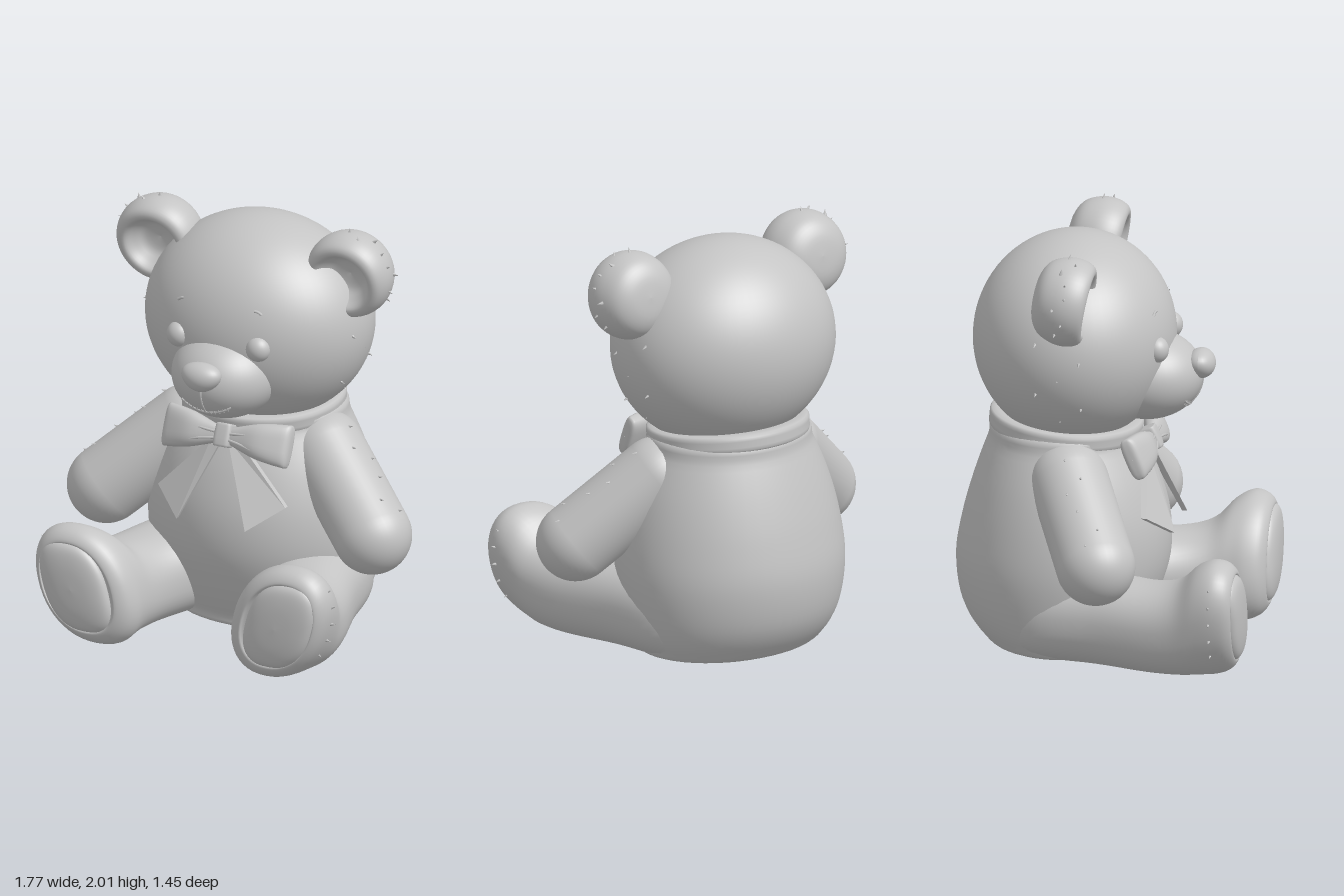
import * as THREE from 'three';

const V = (x, y, z) => new THREE.Vector3(x, y, z);
const plush = new THREE.MeshStandardMaterial({ color: 0xc4c4c4 });
plush.name = 'plain grey';

function add(parent, name, geometry, x = 0, y = 0, z = 0) {
  const mesh = new THREE.Mesh(geometry, plush);
  mesh.name = name;
  mesh.position.set(x, y, z);
  parent.add(mesh);
  return mesh;
}

function ball(parent, name, x, y, z, rx, ry, rz, seg = 40) {
  return add(parent, name, new THREE.SphereGeometry(1, seg, Math.round(seg * 0.7)).scale(rx, ry, rz), x, y, z);
}

// Smooth closed skin along z; each section is [z, cx, cy, rx, ry, power, lean]
function loft(sections, steps = 5, n = 48) {
  const pos = [], index = [];
  const rings = (sections.length - 1) * steps;
  for (let i = 0; i <= rings; i++) {
    const k = Math.min(Math.floor(i / steps), sections.length - 2), t = i / steps - k;
    const at = (j) => sections[Math.max(0, Math.min(sections.length - 1, j))];
    const [z, cx, cy, rx, ry, p, lean] = sections[0].map((_, c) => {
      const a = at(k - 1)[c], b = at(k)[c], d = at(k + 1)[c], e = at(k + 2)[c];
      return b + 0.5 * t * (d - a + t * (2 * a - 5 * b + 4 * d - e + t * (3 * (b - d) + e - a)));
    });
    for (let j = 0; j < n; j++) {
      const a = (j / n) * Math.PI * 2, c = Math.cos(a), s = Math.sin(a);
      const sx = Math.sign(c) * Math.abs(c) ** (2 / p), sy = Math.sign(s) * Math.abs(s) ** (2 / p);
      pos.push(cx + rx * sx + lean * ry * sy, cy + ry * sy, z);
      if (i < rings) {
        const A = i * n + j, B = i * n + (j + 1) % n;
        index.push(A, B, A + n, B, B + n, A + n);
      }
    }
  }
  const g = new THREE.BufferGeometry();
  g.setAttribute('position', new THREE.Float32BufferAttribute(pos, 3));
  g.setIndex(index);
  return g;
}

// Rest a skin on the floor
function settle(g) {
  const p = g.attributes.position;
  for (let i = 0; i < p.count; i++) p.setY(i, Math.max(0, p.getY(i)));
  g.computeVertexNormals();
  return g;
}

// Little pointed lock of fur
function tuft(parent, point, direction) {
  const m = add(parent, 'furTuft', new THREE.ConeGeometry(0.014, 0.045, 6), point.x, point.y, point.z);
  m.quaternion.setFromUnitVectors(V(0, 1, 0), direction.clone().normalize());
}

function tube(parent, name, points, r) {
  return add(parent, name, new THREE.TubeGeometry(new THREE.CatmullRomCurve3(points), 20, r, 6));
}

export function createModel() {
  const bear = new THREE.Group();
  bear.name = 'teddyBear';

  // Pear-shaped body, sections rising in y
  const body = loft([
    [0, 0, 0.2, 0.001, 0.001, 2, 0],
    [0, 0, 0.2, 0.4, 0.31, 2, 0],
    [0.06, 0, 0.23, 0.48, 0.38, 2, 0],
    [0.2, 0, 0.24, 0.53, 0.455, 2, 0],
    [0.4, 0, 0.225, 0.56, 0.5, 2, 0],
    [0.6, 0, 0.21, 0.545, 0.485, 2, 0],
    [0.8, 0, 0.21, 0.495, 0.43, 2, 0],
    [0.98, 0, 0.22, 0.415, 0.355, 2, 0],
    [1.07, 0, 0.22, 0.36, 0.31, 2, 0],
    [1.1, 0, 0.22, 0.001, 0.001, 2, 0],
  ]).rotateX(-Math.PI / 2);
  add(bear, 'body', settle(body));

  // Head and muzzle, with helpers giving the depth of their front surfaces
  ball(bear, 'head', 0, 1.47, -0.17, 0.555, 0.495, 0.475, 64);
  ball(bear, 'muzzle', 0, 1.295, 0.17, 0.256, 0.212, 0.265, 48);
  const headZ = (x, y) => -0.17 + 0.475 * Math.sqrt(1 - (x / 0.555) ** 2 - ((y - 1.47) / 0.495) ** 2);
  const muzzleZ = (x, y) => 0.17 + 0.265 * Math.sqrt(1 - (x / 0.256) ** 2 - ((y - 1.295) / 0.212) ** 2);

  // Nose, narrower at the bottom
  const nose = new THREE.SphereGeometry(1, 32, 24);
  const np = nose.attributes.position;
  for (let i = 0; i < np.count; i++) {
    np.setXYZ(i, np.getX(i) * (0.098 + 0.02 * np.getY(i)), np.getY(i) * 0.07, np.getZ(i) * 0.07);
  }
  nose.computeVertexNormals();
  add(bear, 'nose', nose, 0, 1.355, 0.425);

  // Stitched mouth
  const onMuzzle = (x, y) => V(x, y, muzzleZ(x, y) + 0.001);
  tube(bear, 'mouthSeam', [1.3, 1.26, 1.21, 1.17].map((y) => onMuzzle(0, y)), 0.005);
  tube(bear, 'smile', [-0.13, -0.1, -0.05, 0, 0.05, 0.1, 0.13].map((x) => onMuzzle(x, 1.165 + 2.4 * x * x)), 0.006);
  for (let i = -5; i <= 5; i++) {
    const x = i * 0.022, y = 1.165 + 2.4 * x * x;
    tube(bear, 'smileStitch', [onMuzzle(x, y + 0.012), onMuzzle(x, y - 0.012)], 0.004);
  }

  // Neck ribbon, lower in front
  const collar = add(bear, 'neckRibbon', loft([
    [-0.042, 0, 0, 0.3, 0.28, 2, 0],
    [-0.04, 0, 0, 0.385, 0.352, 2, 0],
    [0, 0, 0, 0.393, 0.36, 2, 0],
    [0.04, 0, 0, 0.385, 0.352, 2, 0],
    [0.042, 0, 0, 0.3, 0.28, 2, 0],
  ], 3, 64).rotateX(-Math.PI / 2), 0, 1.05, -0.21);
  collar.geometry.computeVertexNormals();
  collar.rotation.x = 0.09;

  // Bow knot
  const bow = new THREE.Group();
  bow.name = 'bow';
  bow.position.set(0, 0.98, 0.19);
  bow.rotation.x = -0.4;
  bear.add(bow);
  add(bow, 'knot', loft([
    [-0.055, 0, 0, 0.03, 0.03, 4, 0],
    [-0.045, 0, 0, 0.042, 0.042, 4, 0],
    [0.045, 0, 0, 0.042, 0.042, 4, 0],
    [0.055, 0, 0, 0.03, 0.03, 4, 0],
    [0.055, 0, 0, 0.001, 0.001, 4, 0],
  ], 3, 32).rotateX(-Math.PI / 2)).geometry.computeVertexNormals();

  for (const s of [1, -1]) {
    const side = s > 0 ? 'left' : 'right';

    // Bow loop, sections running out along x
    const loop = loft([
      [0.02, 0, 0, 0.025, 0.035, 2.5, 0],
      [0.08, 0, 0, 0.035, 0.055, 2.5, 0],
      [0.18, 0.005, 0, 0.052, 0.085, 2.6, 0],
      [0.29, 0.03, 0, 0.045, 0.1, 3, 0],
      [0.325, 0.04, 0, 0.03, 0.092, 3, 0],
      [0.33, 0.04, 0, 0.001, 0.001, 3, 0],
    ], 4, 36).rotateY(s * Math.PI / 2);
    if (s < 0) loop.scale(1, 1, -1), loop.index.array.reverse();
    loop.computeVertexNormals();
    add(bow, side + 'BowLoop', loop);
    for (const k of [-1, 0.5]) {
      tube(bow, side + 'BowFold', [V(s * 0.04, 0.02 * k, 0.028), V(s * 0.1, 0.03 * k, 0.035), V(s * 0.16, 0.045 * k, 0.036)], 0.007);
    }

    // Hanging tail, sloping out over the belly and wrapping round it
    const tail = new THREE.ExtrudeGeometry(new THREE.Shape(
      [[0.015, 0.96], [0.18, 0.577], [0.335, 0.685], [0.07, 0.96]].map(([x, y]) => new THREE.Vector2(s * x, y))
    ), { depth: 0.025, bevelEnabled: false });
    const tp = tail.attributes.position;
    for (let i = 0; i < tp.count; i++) {
      tp.setZ(i, tp.getZ(i) + 0.17 + (0.94 - tp.getY(i)) * 0.45 - 0.8 * tp.getX(i) ** 2);
    }
    tail.computeVertexNormals();
    add(bear, side + 'BowTail', tail);

    // Eye and brow
    ball(bear, side + 'Eye', s * 0.208, 1.474, 0.25, 0.06, 0.062, 0.057, 28);
    tube(bear, side + 'Brow', [[0.185, 1.655], [0.2, 1.652], [0.22, 1.64]].map(([x, y]) => V(s * x, y, headZ(x, y) + 0.002)), 0.007);

    // Cupped ear with a plump rim
    const ear = new THREE.Group();
    ear.name = side + 'Ear';
    ear.position.set(s * 0.5, 1.78, -0.14);
    ear.rotation.x = 0.18;
    bear.add(ear);
    const rim = new THREE.SplineCurve([[0, -0.145], [0.1, -0.135], [0.17, -0.095], [0.205, -0.02], [0.208, 0.05],
      [0.185, 0.105], [0.145, 0.115], [0.115, 0.07], [0.075, 0.03], [0, 0.015]].map(([r, y]) => new THREE.Vector2(r, y)));
    const pts = rim.getPoints(40);
    pts.forEach((p) => { p.x = Math.max(0, p.x); });
    add(ear, side + 'EarCup', new THREE.LatheGeometry(pts, 48).rotateX(Math.PI / 2));
    for (let i = 0; i < 8; i++) {
      const a = -0.6 + i * 0.31, d = V(s * Math.cos(a), Math.sin(a), 0);
      tuft(ear, d.clone().multiplyScalar(0.207).setZ(0.03 * Math.sin(i * 2.3)), d.clone().setX(d.x + 0.5 * Math.sin(i * 4)));
    }

    // Arm
    const shoulder = V(s * 0.36, 0.86, -0.14), hand = V(s * 0.7, 0.555, 0.04);
    const along = hand.clone().sub(shoulder);
    const mid = shoulder.clone().add(hand).multiplyScalar(0.5);
    const arm = add(bear, side + 'Arm', new THREE.CapsuleGeometry(0.186, along.length(), 16, 40), mid.x, mid.y, mid.z);
    arm.quaternion.setFromUnitVectors(V(0, 1, 0), along.clone().normalize());
    for (let i = 0; i < 6; i++) {
      const d = V(s * 0.67, 0.74, 0.3 * Math.sin(i * 2)).normalize();
      tuft(bear, shoulder.clone().addScaledVector(along, i * 0.2).addScaledVector(d, 0.183), V(s, 0.2, d.z));
    }

    // Leg blending out of the hip and widening into an upright, leaning foot
    const leg = loft([
      [-0.52, 0.22, 0.2, 0.001, 0.001, 2.3, 0],
      [-0.46, 0.25, 0.2, 0.15, 0.16, 2.3, 0],
      [-0.3, 0.285, 0.205, 0.245, 0.21, 2.3, 0],
      [0, 0.355, 0.208, 0.25, 0.215, 2.3, 0],
      [0.25, 0.445, 0.2, 0.237, 0.21, 2.3, 0.02],
      [0.4, 0.485, 0.215, 0.238, 0.225, 2.3, 0.08],
      [0.5, 0.505, 0.26, 0.246, 0.27, 2.25, 0.18],
      [0.58, 0.51, 0.28, 0.248, 0.287, 2.2, 0.24],
      [0.645, 0.515, 0.285, 0.23, 0.267, 2.2, 0.24],
      [0.68, 0.525, 0.287, 0.19, 0.222, 2.2, 0.24],
      [0.665, 0.53, 0.287, 0.16, 0.18, 2.2, 0.24],
      [0.665, 0.53, 0.287, 0.001, 0.001, 2.2, 0.24],
    ].map((r) => [r[0], s * r[1], ...r.slice(2, 6), s * r[6]]));
    add(bear, side + 'Leg', settle(leg));

    // Padded sole
    const sole = loft([
      [0.65, 0, 0, 0.17, 0.215, 2.5, 0.26],
      [0.68, 0, 0, 0.168, 0.21, 2.5, 0.26],
      [0.703, 0, 0, 0.142, 0.178, 2.4, 0.26],
      [0.717, 0, 0, 0.085, 0.105, 2.2, 0.26],
      [0.722, 0, 0, 0.001, 0.001, 2, 0.26],
    ].map((r) => [...r.slice(0, 6), s * r[6]]));
    sole.computeVertexNormals();
    add(bear, side + 'Sole', sole, s * 0.535, 0.287, 0);
    for (let i = 0; i < 5; i++) {
      const a = -0.5 + i * 0.3, d = V(s * Math.cos(a), Math.sin(a), 0);
      tuft(bear, V(s * 0.51 + d.x * 0.25 + s * 0.07 * Math.sin(a), 0.28 + d.y * 0.287, 0.58), d);
    }

    // Cheek fur
    for (let i = 0; i < 7; i++) {
      const a = -0.65 + i * 0.17, z = 0.12 * Math.sin(i * 2.1);
      tuft(bear, V(s * 0.54 * Math.cos(a), 1.47 + 0.485 * Math.sin(a), -0.17 + z), V(s, -0.4, z));
    }
  }
  return bear;
}
